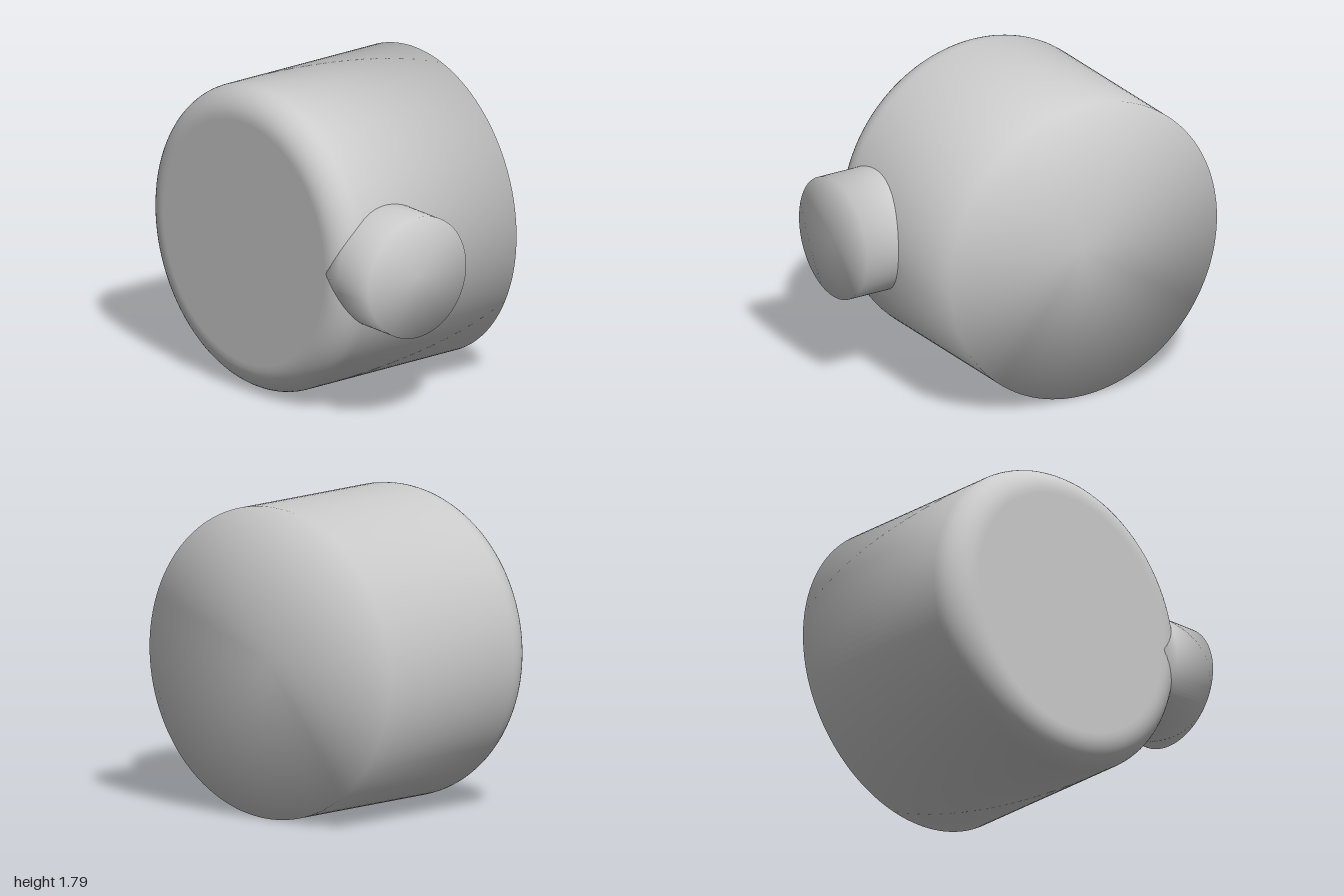
import * as THREE from 'three';

const material = new THREE.MeshStandardMaterial({ color: 0xcccccc });

// Solid of revolution from [radius, height] pairs, smooth across its rims
function turned(name, profile, segments) {
  const points = profile.map(([r, h]) => new THREE.Vector2(r, h));
  const mesh = new THREE.Mesh(new THREE.LatheGeometry(points, segments), material);
  mesh.name = name;
  return mesh;
}

export function createModel() {
  const group = new THREE.Group();
  group.name = 'roundHousing';

  // Drum: plain rim at the back, rounded edge at the front
  const R = 0.895, half = 0.63, fillet = 0.17, steps = 12;
  const profile = [[0, -half], [R, -half], [R, half - fillet - 0.01]];
  for (let i = 0; i <= steps; i++) {
    const a = (i / steps) * Math.PI / 2;
    profile.push([R - fillet + fillet * Math.cos(a), half - fillet + fillet * Math.sin(a)]);
  }
  profile.push([R - fillet - 0.01, half], [0, half]);
  const body = turned('body', profile, 128);
  body.geometry.rotateX(Math.PI / 2);
  body.position.set(-0.105, R, 0);
  group.add(body);

  // Side spout, flush with the front face and sunk into the drum
  const r = 0.358;
  const spout = turned('spout', [[0, 0.61], [r, 0.61], [r, 0.72], [r, 1], [0, 1]], 96);
  spout.geometry.rotateZ(-Math.PI / 2);
  spout.position.set(0, 0.897, half - r);
  group.add(spout);

  return group;
}
